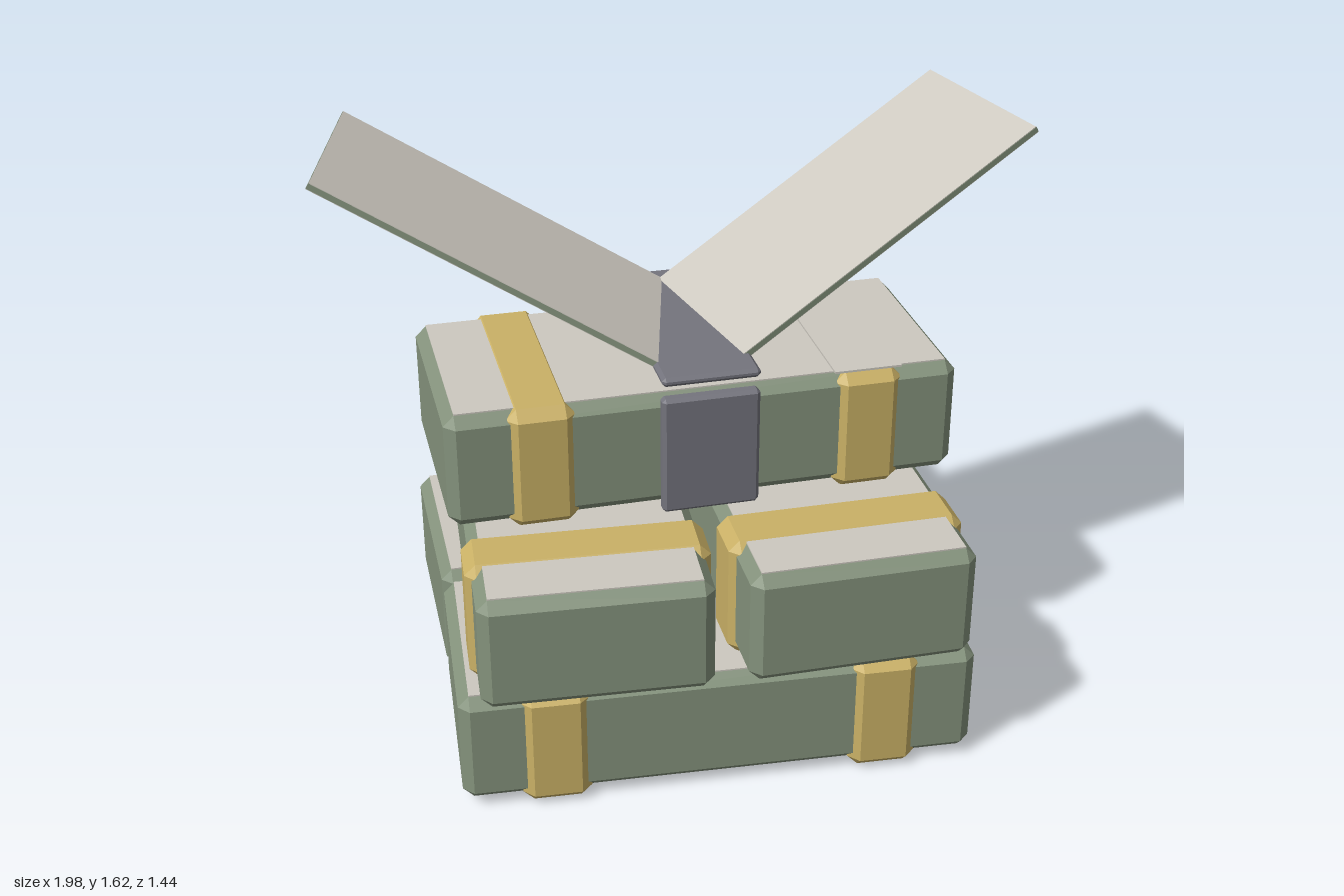
import * as THREE from 'three';
import { ConvexGeometry } from 'three/addons/geometries/ConvexGeometry.js';

const mat = (name, color) => {
  const m = new THREE.MeshStandardMaterial({ color, flatShading: true });
  m.name = name;
  return m;
};

// Box with single flat chamfers on every edge
function chamferBox(w, h, d, c) {
  const x = w / 2, y = h / 2, z = d / 2, pts = [];
  for (const a of [-1, 1]) for (const b of [-1, 1]) for (const e of [-1, 1]) {
    pts.push(
      new THREE.Vector3(a * x, b * (y - c), e * (z - c)),
      new THREE.Vector3(a * (x - c), b * y, e * (z - c)),
      new THREE.Vector3(a * (x - c), b * (y - c), e * z));
  }
  return new ConvexGeometry(pts);
}

export function createModel() {
  const green = mat('green', 0x84927c);
  const paper = mat('pale paper', 0xcdc9c0);
  const yellow = mat('yellow band', 0xcab166);
  const grey = mat('grey clasp', 0x74747d);

  const model = new THREE.Group();
  model.name = 'bundleStack';

  const add = (parent, name, geometry, material, x, y, z) => {
    const m = new THREE.Mesh(geometry, material);
    m.name = name;
    m.position.set(x, y, z);
    parent.add(m);
    return m;
  };

  const L = 1.42, H = 0.33, W = 0.62, C = 0.03;
  const bodyGeo = chamferBox(L, H, W, C);
  const sheetGeo = new THREE.BoxGeometry(L - 2 * C, 0.008, W - 2 * C);
  const bandGeo = chamferBox(0.19, 0.355, W + 0.035, C);

  // Bundle lying along its local x, with a paper top and two wrapped bands
  function bundle(name, layer, x, z, yaw) {
    const g = new THREE.Group();
    g.name = name;
    g.position.set(x, layer * 0.345, z);
    g.rotation.y = yaw;
    add(g, 'body', bodyGeo, green, 0, 0.018 + H / 2, 0);
    add(g, 'topSheet', sheetGeo, paper, 0, 0.018 + H, 0);
    for (const s of [-1, 1]) add(g, 'band', bandGeo, yellow, s * 0.453, 0.1775, 0);
    model.add(g);
    return g;
  }

  // Bottom pair along x, middle pair along z, single bundle on top
  for (const s of [-1, 1]) {
    bundle('bottomBundle', 0, -0.005, s * 0.335, -s * 0.028);
    bundle('middleBundle', 1, s * 0.335, 0, Math.PI / 2 + s * 0.031);
  }
  const top = bundle('topBundle', 2, 0, 0, 0.045);

  // Paper cover on the left band
  add(top, 'bandCover', new THREE.BoxGeometry(0.19, 0.006, W - 0.02), paper, 0.453, 0.356, 0);

  // Clasp plates front and back, and the raised plate above
  const claspGeo = chamferBox(0.27, 0.345, 0.04, 0.01);
  for (const s of [-1, 1]) add(top, 'clasp', claspGeo, grey, 0, 0.185, s * 0.33);
  add(top, 'claspTop', chamferBox(0.27, 0.027, 0.7, 0.01), grey, 0, 0.4075, 0);

  // Two open sheets rising outwards: green core with paper faces
  const coreGeo = new THREE.BoxGeometry(1.11, 0.016, 0.55);
  const faceGeo = new THREE.BoxGeometry(1.108, 0.003, 0.548);
  for (const [s, yaw, z] of [[1, 0.242, -0.118], [-1, 0.207, -0.103]]) {
    const flap = new THREE.Group();
    flap.name = s > 0 ? 'leftFlap' : 'rightFlap';
    flap.position.set(s * 0.457, 1.334, z);
    flap.rotation.set(0, s * yaw, s * 0.518, 'YXZ');
    add(flap, 'core', coreGeo, green, 0, 0, 0);
    for (const f of [-1, 1]) add(flap, 'paperFace', faceGeo, paper, 0, f * 0.0085, 0);
    model.add(flap);
  }
  return model;
}
